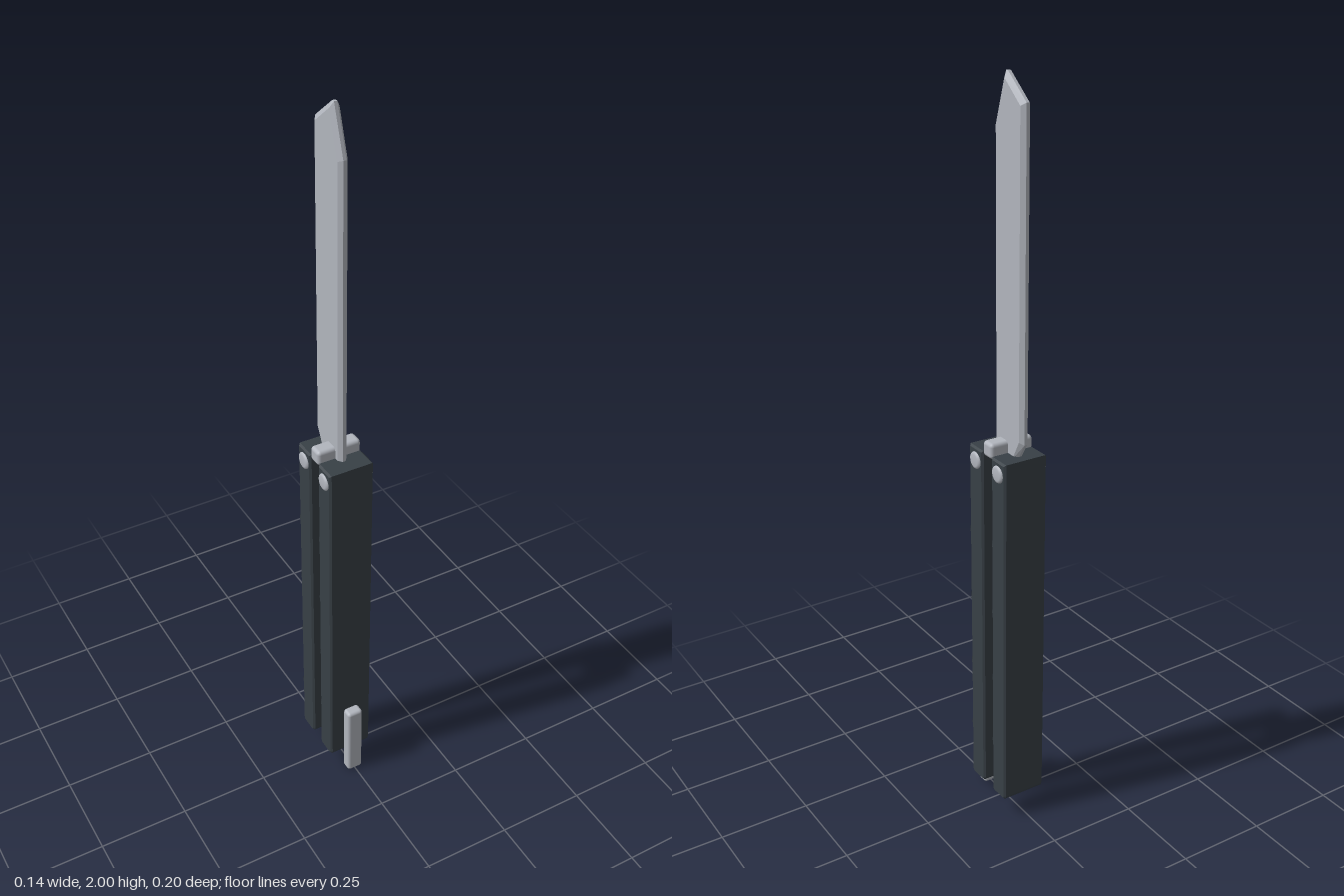
import * as THREE from 'three';
import { RoundedBoxGeometry } from 'three/addons/geometries/RoundedBoxGeometry.js';
import { ConvexGeometry } from 'three/addons/geometries/ConvexGeometry.js';

export function createModel() {
  const model = new THREE.Group();
  model.name = 'foldingKnife';

  const steel = new THREE.MeshStandardMaterial({ color: 0xb2b6be });
  steel.name = 'steel';
  const dark = new THREE.MeshStandardMaterial({ color: 0x384046 });
  dark.name = 'darkGrip';

  const add = (parent, name, geometry, material, x = 0, y = 0, z = 0) => {
    const mesh = new THREE.Mesh(geometry, material);
    mesh.name = name;
    mesh.position.set(x, y, z);
    parent.add(mesh);
    return mesh;
  };

  // Blade: thin outer rim joined to thicker flats by bevels, as [z, y]
  const rim = [[0.028, 1.06], [0.028, 1.88], [-0.013, 2], [-0.021, 2], [-0.097, 1.94], [-0.097, 1.11], [-0.066, 1.06]];
  const flat = [[0.017, 1.06], [0.017, 1.875], [-0.019, 1.985], [-0.085, 1.932], [-0.085, 1.115], [-0.056, 1.06]];
  const bladePoints = [];
  for (const side of [-1, 1]) {
    for (const [z, y] of rim) bladePoints.push(new THREE.Vector3(side * 0.004, y, z));
    for (const [z, y] of flat) bladePoints.push(new THREE.Vector3(side * 0.013, y, z));
  }
  add(model, 'blade', new ConvexGeometry(bladePoints), steel);

  // Handle side profile with round lightening holes, extruded across x
  const w = 0.031, bottom = 0.06, top = 1.07, c = 0.014, width = 0.126, bevel = 0.005;
  const profile = new THREE.Shape();
  profile.moveTo(-w + c, bottom);
  profile.lineTo(w - c, bottom);
  profile.quadraticCurveTo(w, bottom, w, bottom + c);
  profile.lineTo(w, top);
  profile.lineTo(-w, top);
  profile.lineTo(-w, bottom + c);
  profile.quadraticCurveTo(-w, bottom, -w + c, bottom);
  for (const y of [0.23, 0.43, 0.63, 0.83]) {
    profile.holes.push(new THREE.Path().absarc(0, y, 0.024, 0, Math.PI * 2, true));
  }
  const handleGeometry = new THREE.ExtrudeGeometry(profile, {
    depth: width - 2 * bevel, curveSegments: 12,
    bevelEnabled: true, bevelThickness: bevel, bevelSize: bevel, bevelOffset: -bevel, bevelSegments: 1,
  });
  handleGeometry.translate(0, 0, bevel - width / 2);
  handleGeometry.rotateY(-Math.PI / 2);

  // Pivot pin with rounded heads
  const pinProfile = [[0, -0.069], [0.016, -0.069], [0.022, -0.066], [0.024, -0.061],
    [0.024, 0.061], [0.022, 0.066], [0.016, 0.069], [0, 0.069]].map(([r, y]) => new THREE.Vector2(r, y));
  const pinGeometry = new THREE.LatheGeometry(pinProfile, 20);
  pinGeometry.rotateZ(Math.PI / 2);

  for (const [name, z] of [['frontHandle', 0.037], ['backHandle', -0.067]]) {
    const handle = new THREE.Group();
    handle.name = name;
    handle.position.z = z;
    add(handle, 'grip', handleGeometry, dark);
    add(handle, 'pivotPin', pinGeometry, steel, 0, 1.035);
    model.add(handle);
  }

  // Stop bar between the handles and latch on the front handle
  add(model, 'stopBar', new RoundedBoxGeometry(0.124, 0.042, 0.042, 3, 0.01), steel, 0, 1.081, -0.015);
  add(model, 'latch', new RoundedBoxGeometry(0.046, 0.23, 0.033, 3, 0.009), steel, 0, 0.115, 0.0825);

  return model;
}
